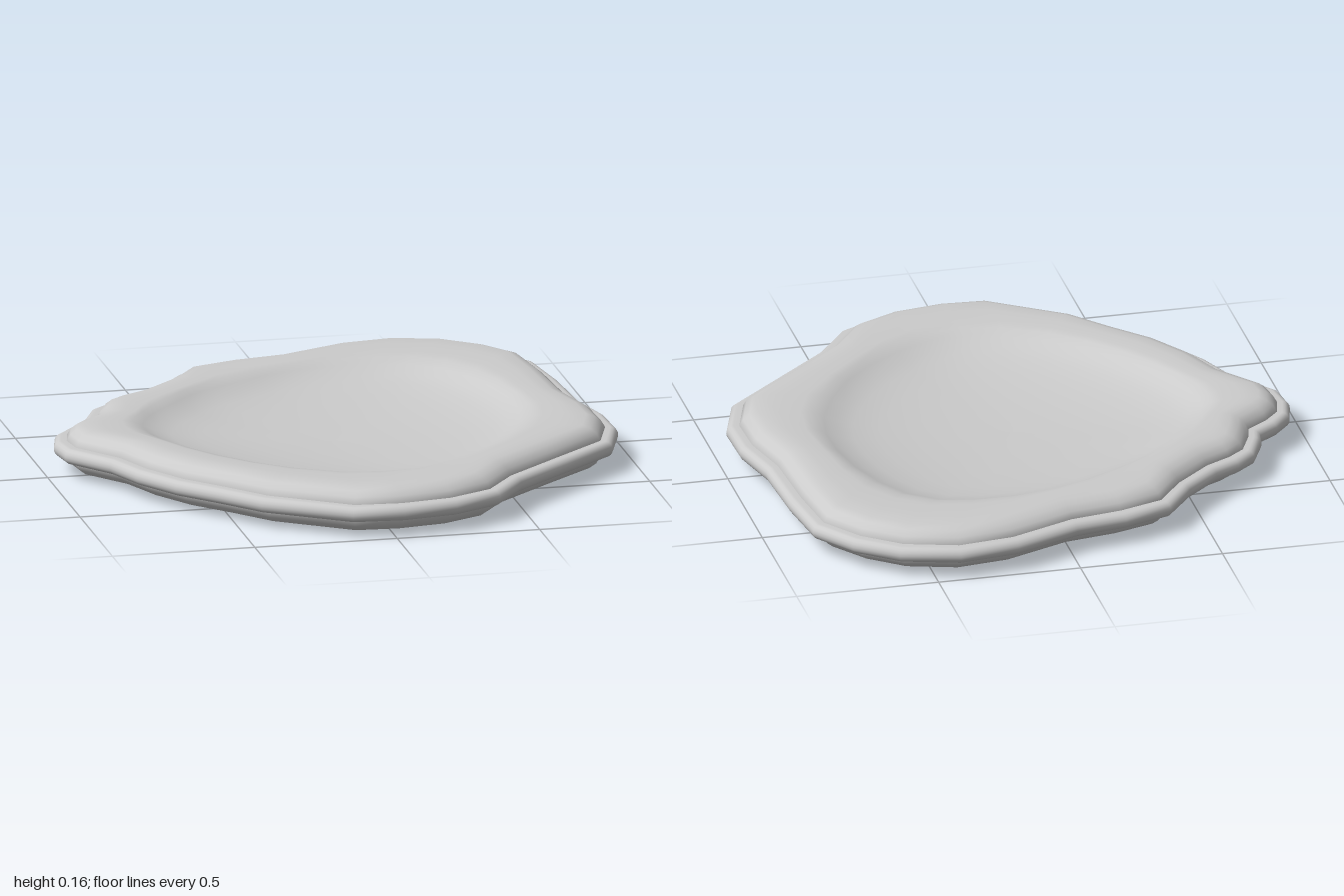
import * as THREE from 'three';

// Outline in x, z, clockwise as seen from above
const OUTLINE = [
  [0.42, -1], [0.62, -0.94], [0.76, -0.83], [0.865, -0.68], [0.895, -0.45], [0.91, -0.18],
  [0.955, 0.01], [0.96, 0.19], [0.9, 0.37], [0.7, 0.55], [0.5, 0.73], [0.39, 0.88],
  [0.22, 0.965], [0.03, 0.995], [-0.15, 0.98], [-0.43, 0.79], [-0.55, 0.65], [-0.67, 0.52],
  [-0.77, 0.36], [-0.83, 0.21], [-0.95, 0.05], [-0.965, -0.06], [-0.94, -0.16], [-0.88, -0.23],
  [-0.81, -0.28], [-0.8, -0.33], [-0.75, -0.44], [-0.68, -0.5], [-0.59, -0.55], [-0.47, -0.66],
  [-0.37, -0.79], [-0.2, -0.85], [-0.02, -0.88], [0.21, -0.975],
].map(([x, z]) => new THREE.Vector2(x, z));
const N = OUTLINE.length;
const at = (i) => OUTLINE[(i + N) % N];

// Outward direction at each outline corner
const NORMALS = OUTLINE.map((p, i) => {
  const a = p.clone().sub(at(i - 1)).normalize();
  const b = at(i + 1).clone().sub(p).normalize();
  const t = a.add(b).normalize();
  return new THREE.Vector2(t.y, -t.x);
});

// Softened, inset outline that the hollow follows
const SOFT = OUTLINE.map((p, i) => {
  const q = new THREE.Vector2();
  for (let k = -2; k <= 2; k++) q.addScaledVector(at(i + k), 0.2);
  return q.multiplyScalar(0.9);
});

// Sweeps a section of [inset, scale, y] around the outline
function sweep(name, section, material) {
  const positions = [], index = [];
  for (const [inset, scale, y] of section) {
    const soften = Math.min(1, (1 - scale) * 5);
    OUTLINE.forEach((p, j) => {
      const q = p.clone().addScaledVector(NORMALS[j], -inset).lerp(SOFT[j], soften).multiplyScalar(scale);
      positions.push(q.x, y, q.y);
    });
  }
  for (let i = 0; i < section.length - 1; i++) {
    for (let j = 0; j < N; j++) {
      const a = i * N + j, b = i * N + (j + 1) % N;
      index.push(a, a + N, b, b, a + N, b + N);
    }
  }
  const geometry = new THREE.BufferGeometry();
  geometry.setAttribute('position', new THREE.Float32BufferAttribute(positions, 3));
  geometry.setIndex(index);
  geometry.computeVertexNormals();
  const mesh = new THREE.Mesh(geometry, material);
  mesh.name = name;
  return mesh;
}

export function createModel() {
  const group = new THREE.Group();
  group.name = 'irregularDish';
  const material = new THREE.MeshStandardMaterial({ color: 0xcccccc });

  // Dish: flat underside, rounded wall, raised crown and shallow hollow top
  const dish = [
    [0.12, 0, 0], [0.12, 1, 0], [0.085, 1, 0.009], [0.06, 1, 0.028], [0.045, 1, 0.055],
    [0.045, 1, 0.11], [0.058, 1, 0.132], [0.08, 1, 0.149], [0.11, 1, 0.159],
    [0.12, 0.95, 0.16], [0.12, 0.87, 0.158], [0.12, 0.83, 0.153], [0.12, 0.79, 0.138],
    [0.12, 0.74, 0.119], [0.12, 0.67, 0.103], [0.12, 0.56, 0.088], [0.12, 0.4, 0.076],
    [0.12, 0.22, 0.069], [0.12, 0, 0.067],
  ];
  group.add(sweep('dish', dish, material));

  // Bead around the edge, rounded outside and meeting the wall squarely
  const bead = [[0.05, 1, 0.055]];
  for (let k = 0; k <= 8; k++) {
    const t = (k / 8 - 0.5) * Math.PI;
    bead.push([0.026 - 0.026 * Math.cos(t), 1, 0.0825 + 0.0275 * Math.sin(t)]);
  }
  bead.push([0.05, 1, 0.11]);
  group.add(sweep('rimBead', bead, material));
  return group;
}
